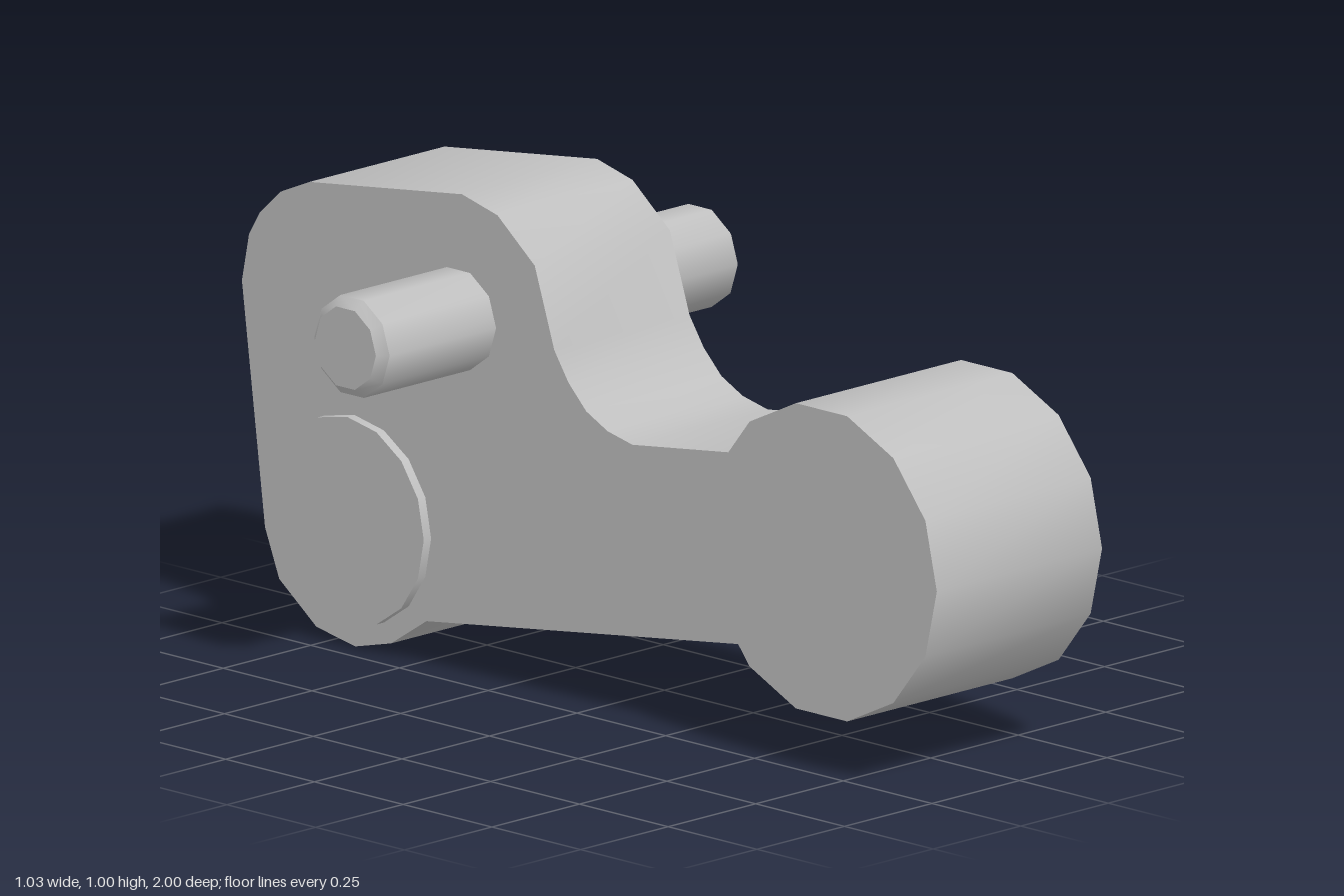
import * as THREE from 'three';
import { toCreasedNormals } from 'three/addons/utils/BufferGeometryUtils.js';

const CREASE = THREE.MathUtils.degToRad(40);

export function createModel() {
  const model = new THREE.Group();
  model.name = 'craneArm';
  const metal = new THREE.MeshStandardMaterial({ color: 0xbfbfbf });
  metal.name = 'light grey metal';

  const add = (name, geometry) => {
    const mesh = new THREE.Mesh(toCreasedNormals(geometry, CREASE), metal);
    mesh.name = name;
    model.add(mesh);
  };

  // Round part lying along x, from a profile of [radius, x] points
  const round = (name, profile, y, z, sides) => {
    const g = new THREE.LatheGeometry(profile.map(([r, x]) => new THREE.Vector2(r, x)), sides);
    g.rotateZ(-Math.PI / 2);
    g.translate(0, y, z);
    add(name, g);
  };

  // Arm plate: side outline as [-z, y], extruded across x
  const outline = [
    [-0.60, 0.30], [-0.42, 0.21], [0.48, 0.09], [0.58, 0.025], [0.68, 0], [0.79, 0.02],
    [0.895, 0.10], [0.935, 0.20], [1.0, 0.70], [0.98, 0.80], [0.95, 0.85], [0.89, 0.905],
    [0.81, 0.94], [0.38, 0.995], [0.28, 0.97], [0.175, 0.885], [0.12, 0.72], [0.08, 0.66],
    [0.03, 0.61], [-0.03, 0.58], [-0.10, 0.565], [-0.37, 0.60], [-0.60, 0.62],
  ];
  const shape = new THREE.Shape(outline.map(([x, y]) => new THREE.Vector2(x, y)));
  const plate = new THREE.ExtrudeGeometry(shape, { depth: 0.386, bevelEnabled: false });
  plate.translate(0, 0, -0.193);
  plate.rotateY(Math.PI / 2);
  add('armPlate', plate);

  // Large roller at the front end
  round('frontRoller', [[0, -0.236], [0.325, -0.236], [0.325, 0.236], [0, 0.236]], 0.437, 0.675, 14);

  // Pivot boss, slightly proud of both sides of the plate
  round('pivotBoss', [[0, -0.214], [0.216, -0.214], [0.216, 0.214], [0, 0.214]], 0.264, -0.683, 16);

  // Cross pin with chamfered ends
  round('crossPin', [
    [0, -0.516], [0.086, -0.516], [0.106, -0.497],
    [0.106, 0.497], [0.086, 0.516], [0, 0.516],
  ], 0.735, -0.39, 10);

  return model;
}
